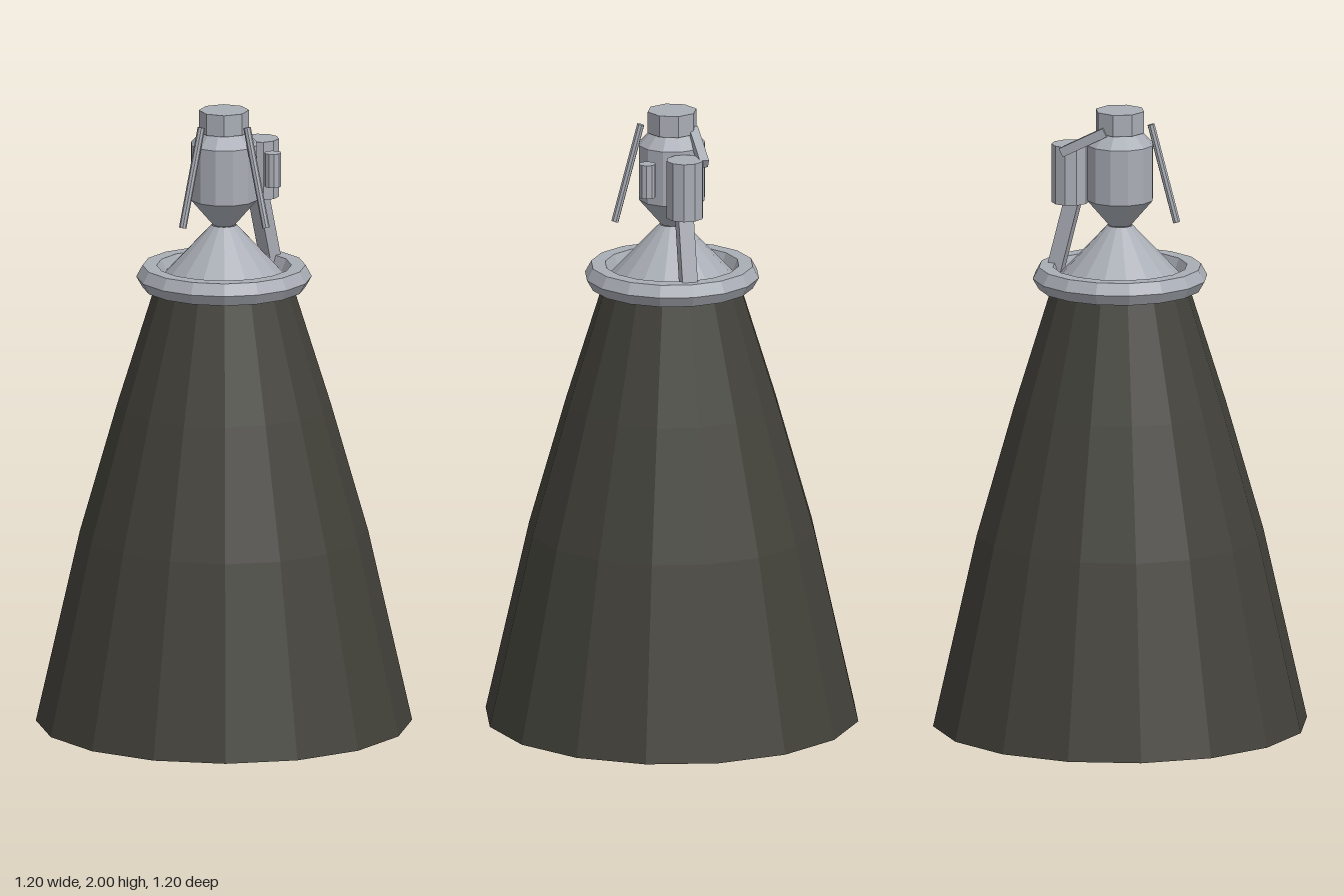
import * as THREE from 'three';

export function createModel() {
  const metal = new THREE.MeshStandardMaterial({ color: 0xa9adb5, flatShading: true, side: THREE.DoubleSide });
  metal.name = 'pale metal';
  const dark = new THREE.MeshStandardMaterial({ color: 0x42413a, flatShading: true, side: THREE.DoubleSide });
  dark.name = 'dark nozzle';
  const model = new THREE.Group();
  model.name = 'rocketEngine';

  const add = (name, geometry, material = metal) => {
    const mesh = new THREE.Mesh(geometry, material);
    mesh.name = name;
    model.add(mesh);
    return mesh;
  };
  const lathe = (name, profile, sides, material) =>
    add(name, new THREE.LatheGeometry(profile.map(([r, y]) => new THREE.Vector2(r, y)), sides), material);
  const cylinder = (name, r, y0, y1, x, z, sides) =>
    add(name, new THREE.CylinderGeometry(r, r, y1 - y0, sides)).position.set(x, (y0 + y1) / 2, z);

  // Stretches a geometry of unit height between two points
  const between = (name, geometry, from, to) => {
    const a = new THREE.Vector3(...from), b = new THREE.Vector3(...to);
    const dir = b.clone().sub(a);
    const mesh = add(name, geometry);
    mesh.scale.y = dir.length();
    mesh.position.copy(a).add(b).multiplyScalar(0.5);
    mesh.quaternion.setFromUnitVectors(new THREE.Vector3(0, 1, 0), dir.normalize());
  };

  // Open exhaust bell
  lathe('nozzleBell', [[0.6, 0], [0.46, 0.62], [0.34, 1.04], [0.215, 1.44]], 16, dark);

  // Collar with bevelled outer rim
  lathe('collarRing', [[0.2, 1.42], [0.26, 1.42], [0.28, 1.455], [0.26, 1.492],
    [0.215, 1.492], [0.2, 1.455], [0.2, 1.42]], 16);

  // Throat cone, combustion chamber and cap
  lathe('throatCone', [[0.205, 1.45], [0.04, 1.625]], 16);
  lathe('combustionChamber', [[0.035, 1.625], [0.108, 1.71], [0.108, 1.89], [0.07, 1.93], [0, 1.93]], 12);
  cylinder('chamberCap', 0.08, 1.93, 2, 0, 0, 8);

  // Turbopump canister with its strut, feed pipe and small side canister
  cylinder('pumpCanister', 0.06, 1.69, 1.88, 0.165, 0, 10);
  cylinder('smallCanister', 0.027, 1.75, 1.86, 0.11, 0.11, 10);
  between('pumpStrut', new THREE.BoxGeometry(0.048, 1, 0.05), [0.15, 1.72, 0], [0.216, 1.46, 0]);
  between('feedPipe', new THREE.BoxGeometry(0.03, 1, 0.03), [0.03, 1.94, -0.06], [0.175, 1.865, -0.06]);

  // Slanted actuator rods on the front and right
  const rod = () => new THREE.CylinderGeometry(0.012, 0.012, 1, 8);
  between('frontActuatorRod', rod(), [0, 1.96, 0.103], [0, 1.645, 0.188]);
  between('rightActuatorRod', rod(), [-0.103, 1.96, 0], [-0.188, 1.645, 0]);

  return model;
}
